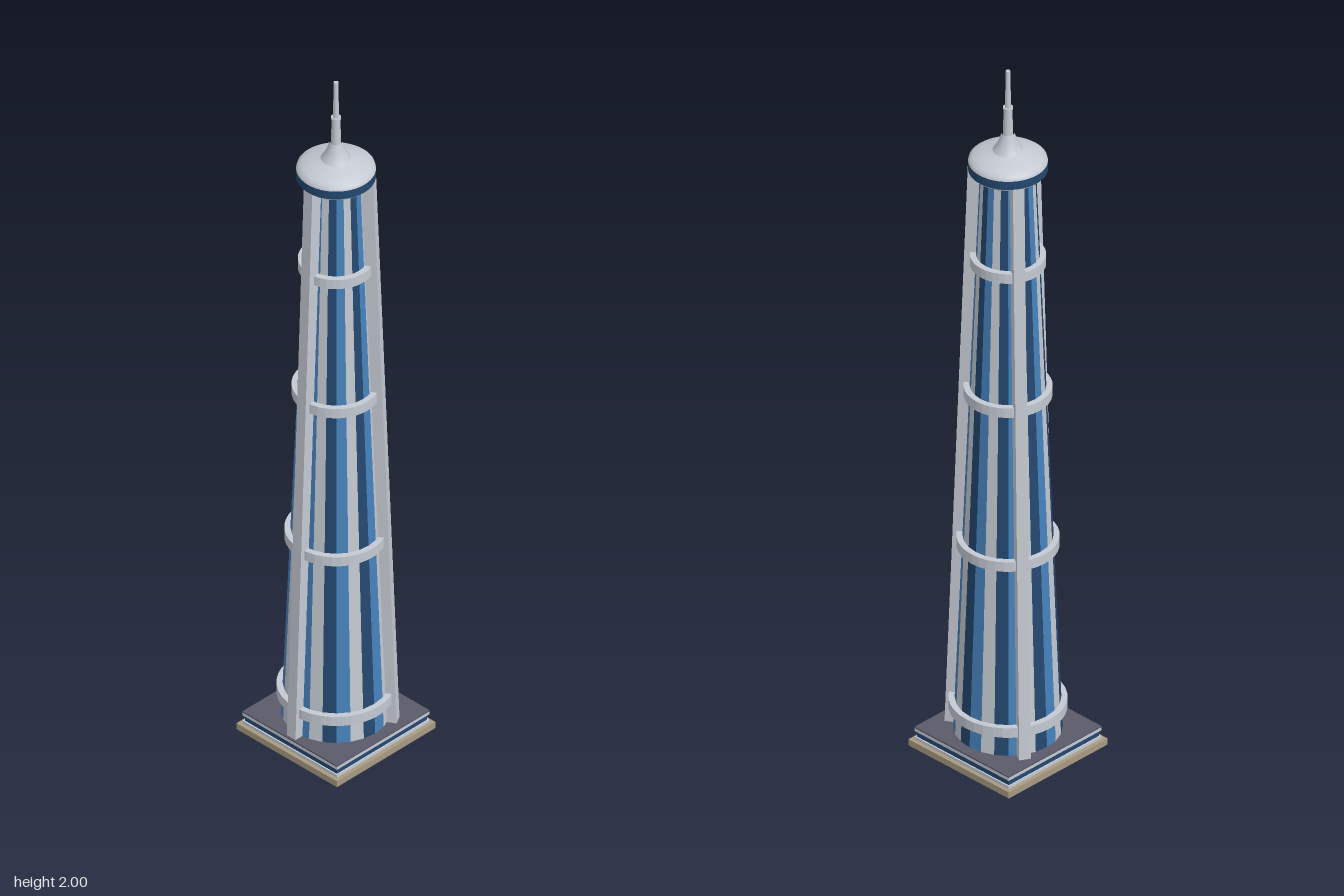
import * as THREE from 'three';

const mat = (name, color, extra = {}) => {
  const m = new THREE.MeshStandardMaterial({ color, ...extra });
  m.name = name;
  return m;
};

export function createModel() {
  const tower = new THREE.Group();
  tower.name = 'tower';

  const lightMetal = mat('light metal', 0xc4c9d2);
  const blueGlass = mat('blue glass', 0x4682bc);
  const navyGlass = mat('navy glass', 0x23476f);
  const slate = mat('slate paving', 0x5a5a69);
  const stone = mat('tan stone', 0xa89a82);

  const add = (name, geometry, material, y = 0, parent = tower) => {
    const mesh = new THREE.Mesh(geometry, material);
    mesh.name = name;
    mesh.position.y = y;
    parent.add(mesh);
    return mesh;
  };
  const slab = (name, size, y0, y1, material) =>
    add(name, new THREE.BoxGeometry(size, y1 - y0, size), material, (y0 + y1) / 2);

  // Stepped square podium
  slab('foundation', 0.352, 0, 0.018, stone);
  slab('podiumLowerTrim', 0.33, 0.018, 0.026, lightMetal);
  slab('podiumGlass', 0.322, 0.026, 0.042, navyGlass);
  slab('podiumUpperTrim', 0.33, 0.042, 0.051, lightMetal);
  slab('podiumPaving', 0.33, 0.051, 0.055, slate);

  // Tapering shaft: 24 flat facets, three colours in turn
  const y0 = 0.055, y1 = 1.71, sides = 24;
  const radiusAt = (y) => THREE.MathUtils.mapLinear(y, y0, y1, 0.137, 0.07);
  const facets = new THREE.Group();
  facets.name = 'glassShaft';
  tower.add(facets);
  const colours = [blueGlass, lightMetal, navyGlass];
  for (let i = 0; i < sides; i++) {
    const step = (Math.PI * 2) / sides;
    const facet = new THREE.CylinderGeometry(
      radiusAt(y1), radiusAt(y0), y1 - y0, 1, 1, true, i * step, step).toNonIndexed();
    facet.computeVertexNormals();
    add('glassFacet', facet, colours[i % 3], (y0 + y1) / 2, facets);
  }

  // Horizontal hoops around the shaft
  for (const y of [0.13, 0.61, 1.055, 1.443]) {
    const inner = radiusAt(y) - 0.006, outer = radiusAt(y) + 0.015, h = 0.014;
    const profile = [[inner, -h], [outer, -h], [outer, h], [inner, h], [inner, -h]]
      .map(([r, v]) => new THREE.Vector2(r, v));
    const hoop = new THREE.LatheGeometry(profile, 36).toNonIndexed();
    hoop.computeVertexNormals();
    add('hoop', hoop, lightMetal, y);
  }

  // Three leaning fins, 120 degrees apart
  for (let i = 0; i < 3; i++) {
    const fin = new THREE.BoxGeometry(0.03, y1 - y0, 1);
    const p = fin.attributes.position;
    for (let k = 0; k < p.count; k++) {
      const top = p.getY(k) > 0, outside = p.getZ(k) > 0;
      p.setZ(k, outside ? (top ? 0.1 : 0.16) : (top ? 0.066 : 0.13));
    }
    fin.computeVertexNormals();
    add('fin', fin, lightMetal, (y0 + y1) / 2).rotation.y = (i * Math.PI * 2) / 3;
  }

  // Crown: glazed drum between two rims, then a shallow dome
  add('crownLowerRim', new THREE.CylinderGeometry(0.096, 0.092, 0.008, 48), lightMetal, 1.706);
  add('crownGlass', new THREE.CylinderGeometry(0.1, 0.1, 0.024, 48), navyGlass, 1.722);
  const lathe = (points, segments) =>
    new THREE.LatheGeometry(points.map(([r, y]) => new THREE.Vector2(r, y)), segments);
  add('dome', lathe([[0.1, 1.734], [0.098, 1.742], [0.088, 1.75], [0.07, 1.757],
    [0.05, 1.763], [0.038, 1.767]], 48), lightMetal);
  add('spireFlare', lathe([[0.04, 1.765], [0.032, 1.776], [0.024, 1.792],
    [0.018, 1.81], [0.016, 1.816]], 32), lightMetal);

  // Mast in narrowing stages
  add('mastLower', new THREE.CylinderGeometry(0.011, 0.013, 0.085, 16), lightMetal, 1.85);
  add('mastCollar', new THREE.CylinderGeometry(0.013, 0.013, 0.006, 16), lightMetal, 1.89);
  add('mastUpper', new THREE.CylinderGeometry(0.006, 0.008, 0.107, 12), lightMetal, 1.9465);

  return tower;
}
